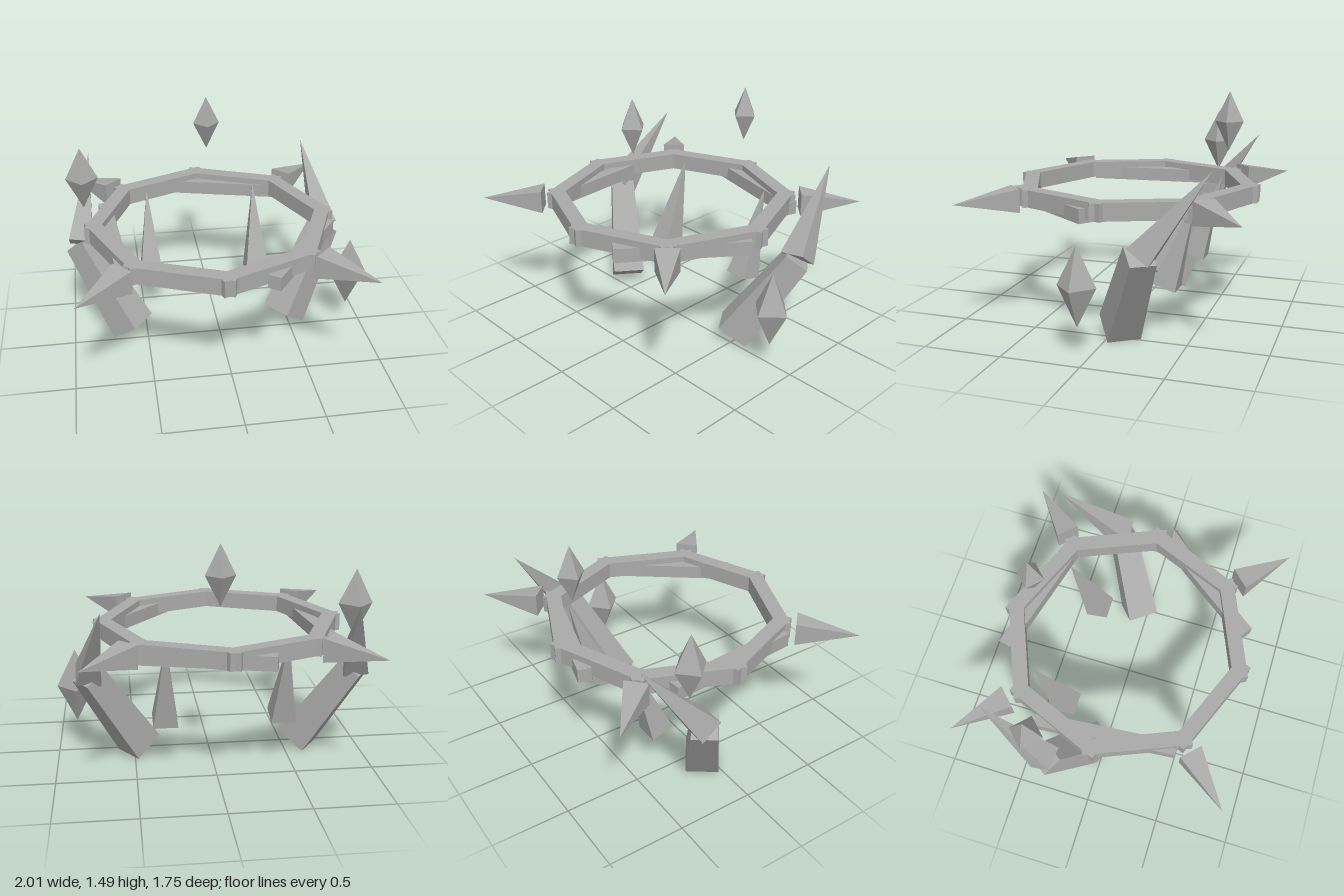
import * as THREE from 'three';

const V = (x, y, z) => new THREE.Vector3(x, y, z);
const CX = -0.065; // centre line of the ring

export function createModel() {
  const group = new THREE.Group();
  const stone = new THREE.MeshStandardMaterial({ color: 0xaaaaaa, flatShading: true });
  stone.name = 'grey stone';

  const add = (name, geometry) => {
    const mesh = new THREE.Mesh(geometry, stone);
    mesh.name = name;
    group.add(mesh);
    return mesh;
  };

  // Square shaft from a to b; one pair of sides is aligned with ref
  const shaft = (name, a, b, sideA, sideB, ref) => {
    const axis = b.clone().sub(a);
    const length = axis.length();
    axis.normalize();
    const u = ref.clone().addScaledVector(axis, -ref.dot(axis)).normalize();
    const w = u.clone().cross(axis);
    const geo = new THREE.CylinderGeometry(sideB / Math.SQRT2, sideA / Math.SQRT2, length, 4);
    geo.rotateY(Math.PI / 4);
    geo.applyMatrix4(new THREE.Matrix4().makeBasis(u, axis, w));
    const mid = a.clone().add(b).multiplyScalar(0.5);
    geo.translate(mid.x, mid.y, mid.z);
    return add(name, geo);
  };

  // Eight overlapping bars form the ring
  for (let i = 0; i < 8; i++) {
    const t = ((i + 0.5) * Math.PI) / 4;
    const bar = add('ringBar', new THREE.BoxGeometry(0.68, 0.11, 0.095));
    bar.position.set(CX + Math.sin(t) * 0.69, 0.845, Math.cos(t) * 0.69);
    bar.rotation.y = t;
  }

  // Loose beams under the ring: start x, z and end x, z
  for (const [x0, z0, x1, z1] of [
    [-0.325, -0.74, 0.53, -0.515],
    [-0.735, -0.39, -0.66, 0.5],
    [0.21, 0.73, 0.705, 0.07],
  ]) {
    const beam = add('looseBeam', new THREE.BoxGeometry(Math.hypot(x1 - x0, z1 - z0), 0.09, 0.085));
    beam.position.set((x0 + x1) / 2, 0.815, (z0 + z1) / 2);
    beam.rotation.y = Math.atan2(z0 - z1, x1 - x0);
  }

  // Paired parts, mirrored about the ring's centre line
  for (const s of [1, -1]) {
    const P = (x, y, z) => V(CX + s * (x - CX), y, z);

    // Horizontal corner spikes
    for (const f of [1, -1]) {
      shaft('cornerSpike', P(0.535, 0.845, f * 0.595), P(0.815, 0.845, f * 0.875), 0.15, 0, V(0, 1, 0));
    }

    // Slanted legs with a horn on each
    const shoulder = P(0.78, 0.625, -0.288);
    shaft('leg', P(0.47, 0.0625, -0.0625), shoulder, 0.215, 0.16, V(s * 0.585, 0, 0.811));
    shaft('horn', shoulder, P(0.69, 1.12, -0.68), 0.16, 0, V(1, 0, 0));

    // Fangs hanging at the back
    shaft('fang', P(0.31, 0.3125, -0.315), P(0.31, 0.885, -0.5), 0.157, 0, V(1, 0, 0));
  }

  // Floating crystals: position, radius, half height
  for (const [x, y, z, r, h] of [
    [0, 1.31, -0.625, 0.09, 0.185],
    [-0.875, 1.06, -0.375, 0.108, 0.215],
    [0.875, 0.438, 0.062, 0.123, 0.247],
  ]) {
    const crystal = add('floatingCrystal', new THREE.OctahedronGeometry(1, 0).scale(r, h, r));
    crystal.position.set(x, y, z);
  }

  return group;
}
